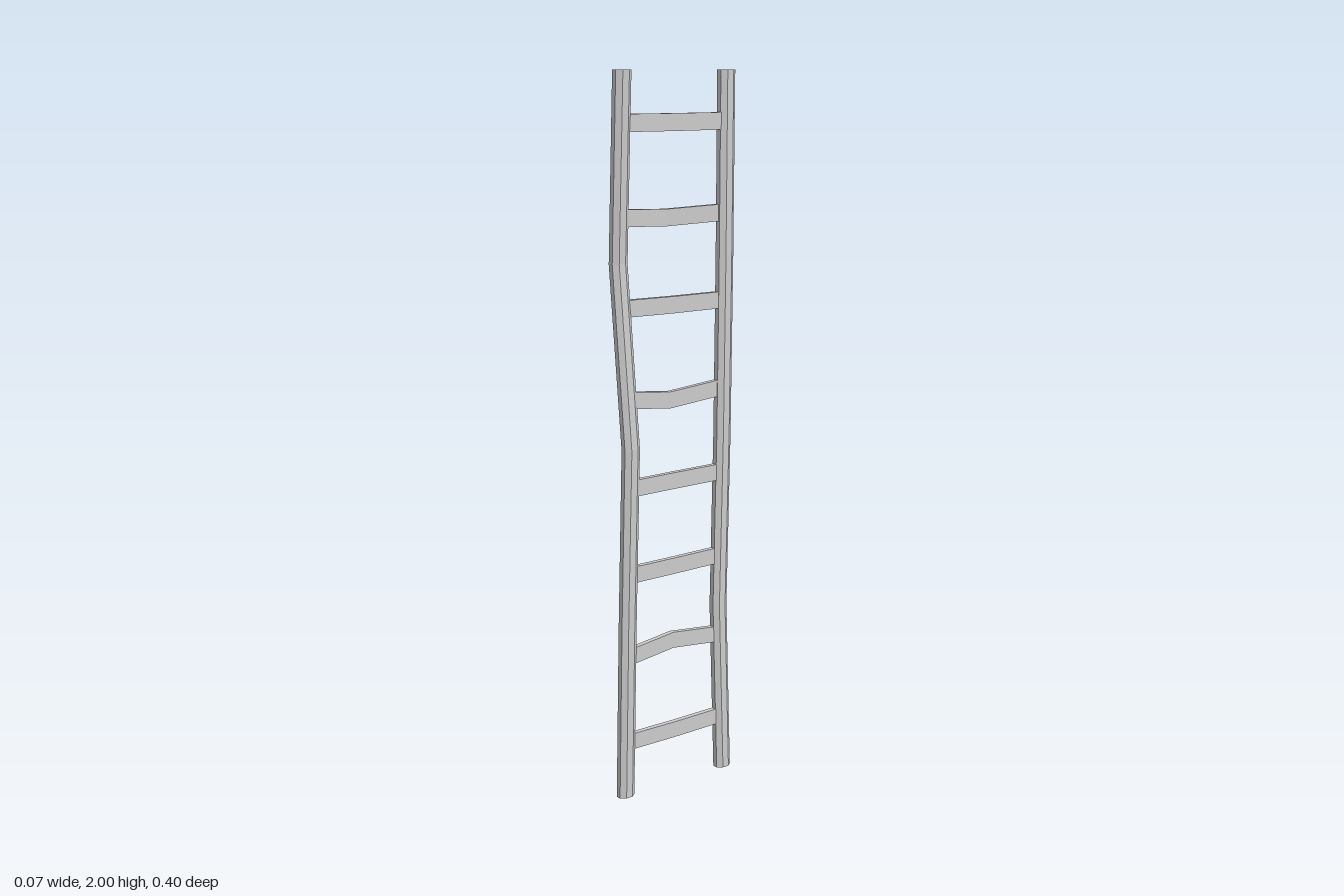
import * as THREE from 'three';

// Rail centre lines as [x, z] at evenly spaced heights from 0 to 2
const STEP = 0.5;
const FRONT = [[0.004, 0.175], [0.008, 0.167], [0.015, 0.158], [-0.016, 0.173], [0.006, 0.173]];
const BACK = [[0.006, -0.175], [0.003, -0.16], [0.005, -0.169], [0.006, -0.173], [0.006, -0.175]];

// Rungs: height at the ends, height in the middle, x in the middle
const RUNGS = [
  [0.16, 0.16, 0.008], [0.41, 0.428, 0.004], [0.647, 0.647, 0.008], [0.892, 0.892, 0.008],
  [1.135, 1.117, -0.006], [1.38, 1.38, 0.004], [1.62, 1.612, -0.027], [1.865, 1.865, 0.015],
];

const material = new THREE.MeshStandardMaterial({ color: 0xcccccc, flatShading: true });

function railPoint(path, y) {
  const i = Math.min(Math.floor(y / STEP), path.length - 2);
  const t = y / STEP - i;
  return path[i].map((v, k) => THREE.MathUtils.lerp(v, path[i + 1][k], t));
}

// Octagonal pole whose rings follow the centre line
function rail(name, path) {
  const r = 1 / Math.cos(Math.PI / 8);
  const geo = new THREE.CylinderGeometry(r, r, 2, 8, path.length - 1);
  geo.rotateY(Math.PI / 8).scale(0.019, 1, 0.025).translate(0, 1, 0);
  const p = geo.attributes.position;
  for (let i = 0; i < p.count; i++) {
    const [x, z] = railPoint(path, p.getY(i));
    p.setX(i, p.getX(i) + x);
    p.setZ(i, p.getZ(i) + z);
  }
  geo.computeVertexNormals();
  const mesh = new THREE.Mesh(geo, material);
  mesh.name = name;
  return mesh;
}

// Flat bar between the rails, bent at its middle
function rung([endY, midY, midX], index) {
  const geo = new THREE.BoxGeometry(0.016, 0.046, 2, 1, 1, 2);
  const front = railPoint(FRONT, endY);
  const back = railPoint(BACK, endY);
  const p = geo.attributes.position;
  for (let i = 0; i < p.count; i++) {
    const side = Math.round(p.getZ(i));
    const [x, z] = side > 0 ? front : side < 0 ? back : [midX, 0.01];
    p.setXYZ(i, p.getX(i) + x, p.getY(i) + (side ? endY : midY), z);
  }
  geo.computeVertexNormals();
  const mesh = new THREE.Mesh(geo, material);
  mesh.name = `rung${index + 1}`;
  return mesh;
}

export function createModel() {
  const ladder = new THREE.Group();
  ladder.name = 'ladder';
  ladder.add(rail('frontRail', FRONT), rail('backRail', BACK), ...RUNGS.map(rung));
  return ladder;
}
